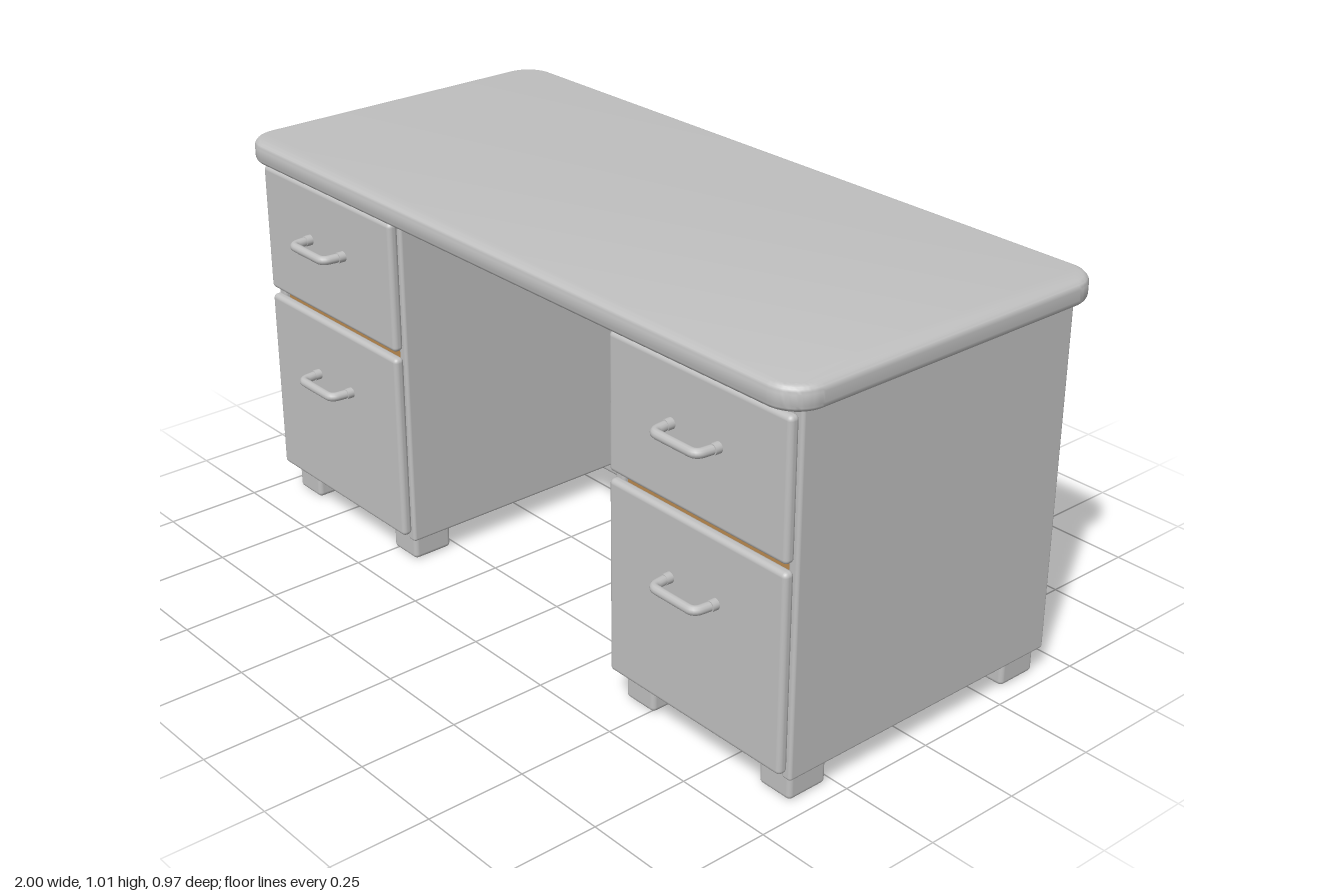
import * as THREE from 'three';
import { toCreasedNormals } from 'three/addons/utils/BufferGeometryUtils.js';
import { RoundedBoxGeometry } from 'three/addons/geometries/RoundedBoxGeometry.js';

const grey = new THREE.MeshStandardMaterial({ color: 0xc0c0c0 });
grey.name = 'grey paint';
const wood = new THREE.MeshStandardMaterial({ color: 0xb98a50 });
wood.name = 'brown wood';

// Box given by its limits on each axis, with optional rounded edges
function box(name, [x0, x1], [y0, y1], [z0, z1], radius = 0, material = grey) {
  const size = [x1 - x0, y1 - y0, z1 - z0];
  const geometry = radius
    ? new RoundedBoxGeometry(...size, 3, radius)
    : new THREE.BoxGeometry(...size);
  const mesh = new THREE.Mesh(geometry, material);
  mesh.name = name;
  mesh.position.set((x0 + x1) / 2, (y0 + y1) / 2, (z0 + z1) / 2);
  return mesh;
}

// Desk top: rounded rectangle with softened upper and lower edges
function makeTop() {
  const bevel = 0.018, x = 1 - bevel, z0 = -0.449 + bevel, z1 = 0.487 - bevel, r = 0.065;
  const s = new THREE.Shape();
  s.moveTo(-x + r, z0);
  s.lineTo(x - r, z0);
  s.absarc(x - r, z0 + r, r, -Math.PI / 2, 0);
  s.lineTo(x, z1 - r);
  s.absarc(x - r, z1 - r, r, 0, Math.PI / 2);
  s.lineTo(-x + r, z1);
  s.absarc(-x + r, z1 - r, r, Math.PI / 2, Math.PI);
  s.lineTo(-x, z0 + r);
  s.absarc(-x + r, z0 + r, r, Math.PI, Math.PI * 1.5);
  const geometry = new THREE.ExtrudeGeometry(s, {
    depth: 0.06 - 2 * bevel, bevelEnabled: true, bevelThickness: bevel,
    bevelSize: bevel, bevelSegments: 5, curveSegments: 10,
  });
  geometry.rotateX(-Math.PI / 2);
  const mesh = new THREE.Mesh(toCreasedNormals(geometry, 0.6), grey);
  mesh.name = 'deskTop';
  mesh.position.y = 0.947 + bevel;
  return mesh;
}

// Bent-rod pull with a small collar at each end
function makeHandle(x, y) {
  const handle = new THREE.Group();
  handle.name = 'drawerHandle';
  const path = new THREE.CurvePath();
  const v = (a, b) => new THREE.Vector3(a, 0, b);
  path.add(new THREE.LineCurve3(v(-0.074, 0), v(-0.07, 0.038)));
  path.add(new THREE.QuadraticBezierCurve3(v(-0.07, 0.038), v(-0.068, 0.057), v(-0.05, 0.057)));
  path.add(new THREE.LineCurve3(v(-0.05, 0.057), v(0.05, 0.057)));
  path.add(new THREE.QuadraticBezierCurve3(v(0.05, 0.057), v(0.068, 0.057), v(0.07, 0.038)));
  path.add(new THREE.LineCurve3(v(0.07, 0.038), v(0.074, 0)));
  const bar = new THREE.Mesh(new THREE.TubeGeometry(path, 48, 0.0115, 12), grey);
  bar.name = 'handleBar';
  handle.add(bar);
  for (const side of [-1, 1]) {
    const collar = new THREE.Mesh(new THREE.CylinderGeometry(0.0135, 0.0135, 0.018, 16), grey);
    collar.name = 'handleCollar';
    collar.rotation.x = Math.PI / 2;
    collar.position.set(side * 0.073, 0, 0.009);
    handle.add(collar);
  }
  handle.position.set(x, y, 0.419);
  return handle;
}

// Drawer pedestal, built around x = 0
function makePedestal() {
  const p = new THREE.Group();
  p.name = 'pedestal';
  const inner = [-0.27, 0.27];
  p.add(
    box('outerSidePanel', [0.257, 0.286], [0.064, 0.948], [-0.432, 0.393], 0.008),
    box('innerSidePanel', [-0.286, -0.257], [0.064, 0.948], [-0.432, 0.393], 0.008),
    box('backPanel', inner, [0.068, 0.948], [-0.424, -0.4]),
    box('bottomPanel', inner, [0.066, 0.09], [-0.42, 0.386]),
    box('topRail', inner, [0.915, 0.948], [-0.42, 0.386]),
    box('drawerDivider', [-0.257, 0.257], [0.55, 0.63], [-0.4, 0.38], 0, wood),
    box('upperDrawerFront', [-0.278, 0.278], [0.597, 0.933], [0.391, 0.419], 0.012),
    box('lowerDrawerFront', [-0.278, 0.278], [0.085, 0.579], [0.391, 0.419], 0.012),
    makeHandle(0, 0.79),
    makeHandle(0, 0.419),
  );
  // Feet at the four corners
  for (const x of [[0.175, 0.272], [-0.268, -0.171]])
    for (const z of [[0.268, 0.379], [-0.417, -0.306]])
      p.add(box('foot', x, [0, 0.078], z, 0.012));
  return p;
}

export function createModel() {
  const desk = new THREE.Group();
  desk.name = 'desk';
  desk.add(makeTop());
  for (const side of [-1, 1]) {
    const pedestal = makePedestal();
    pedestal.name = side > 0 ? 'leftPedestal' : 'rightPedestal';
    pedestal.position.x = side * 0.682;
    // Swap foot and panel offsets so both pedestals mirror each other
    if (side < 0) pedestal.children.forEach((part) => { part.position.x *= -1; });
    desk.add(pedestal);
  }
  // Panel closing the back of the knee space
  desk.add(box('modestyPanel', [-0.4, 0.4], [0.55, 0.948], [-0.4, -0.375], 0.004));
  return desk;
}
